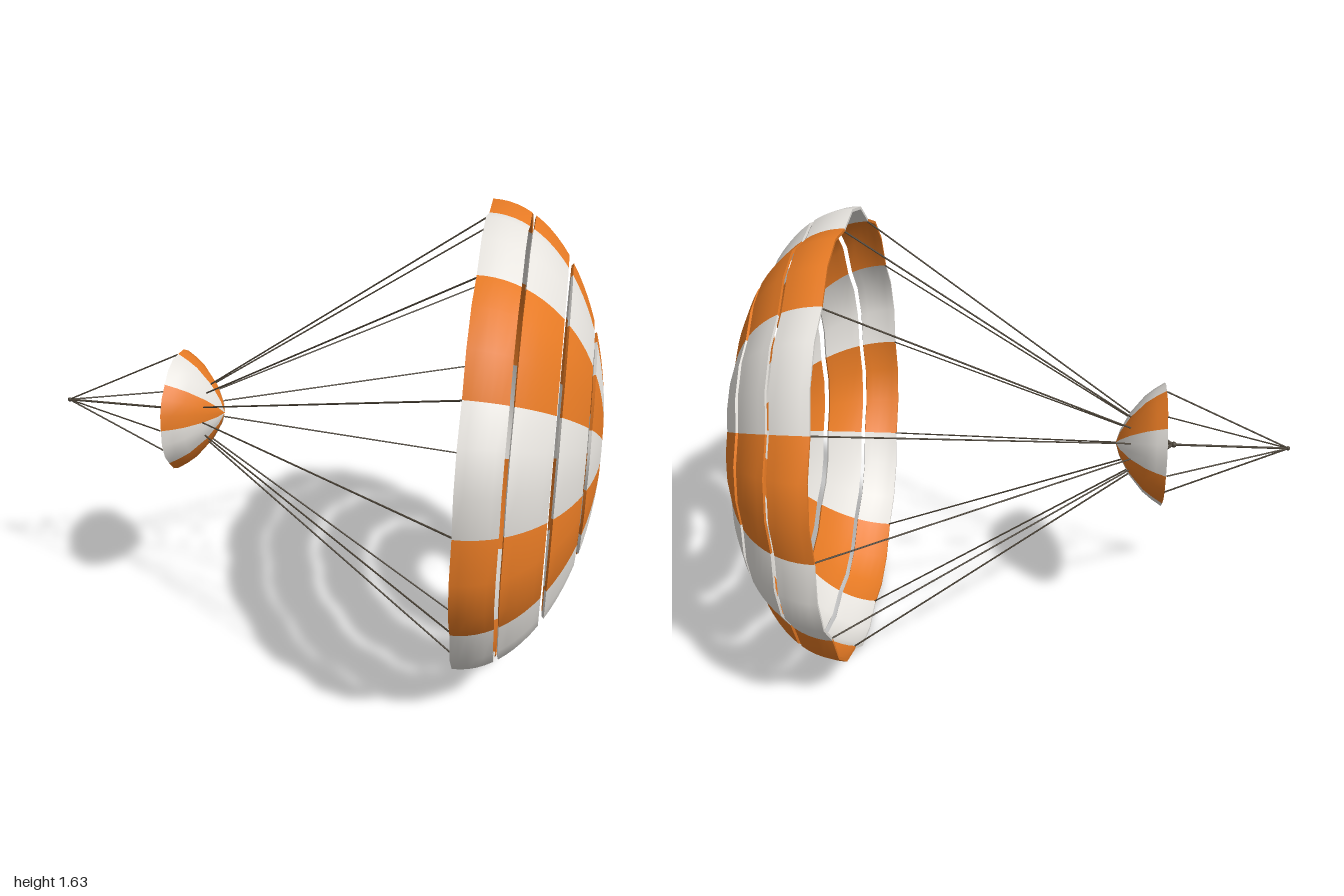
import * as THREE from 'three';
import { mergeGeometries } from 'three/addons/utils/BufferGeometryUtils.js';

const AXIS = 0.815; // height of the parachute axis, which runs along x

const makeMaterial = (name, color) => {
  const m = new THREE.MeshStandardMaterial({ color });
  m.name = name;
  return m;
};

// A point at distance r from the axis; angle runs from up (+y) towards the front (+z)
const around = (x, r, angle) =>
  new THREE.Vector3(x, AXIS + r * Math.cos(angle), r * Math.sin(angle));

// Sweep a short profile of [x, r] points across one billowed gore
function gorePatch(profile, start, width, bulge) {
  const steps = 3, n = profile.length, pos = [], index = [];
  for (let j = 0; j <= steps; j++) {
    const t = j / steps, f = 1 + bulge * Math.sin(Math.PI * t);
    for (const [x, r] of profile) pos.push(...around(x, r * f, start + width * t).toArray());
  }
  for (let j = 0; j < steps; j++) {
    for (let i = 0; i < n - 1; i++) {
      const a = j * n + i, b = a + n;
      index.push(a, b, a + 1, b, b + 1, a + 1);
    }
  }
  const g = new THREE.BufferGeometry();
  g.setAttribute('position', new THREE.Float32BufferAttribute(pos, 3));
  g.setIndex(index);
  g.computeVertexNormals();
  return g;
}

// Cloth band with thickness, made of gores in two alternating colours
function clothBand(name, outer, inner, gores, bulge, materials) {
  const group = new THREE.Group();
  group.name = name;
  const last = outer.length - 1;
  const sides = [
    outer,
    [outer[last], inner[last]],
    [...inner].reverse(),
    [inner[0], outer[0]],
  ];
  const width = (Math.PI * 2) / gores;
  materials.forEach((material, c) => {
    const parts = [];
    for (let k = c; k < gores; k += 2) {
      for (const side of sides) parts.push(gorePatch(side, k * width, width, bulge));
    }
    const mesh = new THREE.Mesh(mergeGeometries(parts), material);
    mesh.name = `${name} ${material.name} gores`;
    group.add(mesh);
  });
  return group;
}

function cord(name, from, to, material, radius = 0.003) {
  const path = new THREE.LineCurve3(from, to);
  const mesh = new THREE.Mesh(new THREE.TubeGeometry(path, 1, radius, 6), material);
  mesh.name = name;
  return mesh;
}

function knot(name, x, radius, material) {
  const mesh = new THREE.Mesh(new THREE.SphereGeometry(radius, 10, 8), material);
  mesh.name = name;
  mesh.position.set(x, AXIS, 0);
  return mesh;
}

export function createModel() {
  const model = new THREE.Group();
  model.name = 'parachute';
  const white = makeMaterial('white', 0xe6e3de);
  const orange = makeMaterial('orange', 0xe67a24);
  const cordColor = makeMaterial('cord brown', 0x4a4236);
  const cloth = [white, orange];

  // Main canopy: four rings separated by slots, on one elliptical dome
  const dome = (degrees, depth) => {
    const a = THREE.MathUtils.degToRad(degrees);
    return [0.57 + (0.437 - depth) * Math.sin(a), (0.797 - depth) * Math.cos(a)];
  };
  const rings = [[0, 18], [20, 38.2], [41, 58.5], [61.8, 79.3]];
  rings.forEach(([from, to], i) => {
    const outer = [], inner = [];
    for (let s = 0; s <= 5; s++) {
      const angle = from + ((to - from) * s) / 5;
      outer.push(dome(angle, 0));
      inner.push(dome(angle, 0.01));
    }
    model.add(clothBand(`canopy ring ${i + 1}`, outer, inner, 12, 0.044, cloth));
  });

  // Small pilot chute
  const pilot = [[-0.54, 0.22], [-0.505, 0.198], [-0.47, 0.171], [-0.417, 0.109],
    [-0.382, 0.045], [-0.37, 0.006]];
  const pilotInner = pilot.map(([x, r], i) => [x - (i ? 0.005 : 0), Math.max(r - 0.005, 0.003)]);
  model.add(clothBand('pilot chute', pilot, pilotInner, 8, 0.03, cloth));

  // Suspension lines from the canopy seams to the confluence point
  const confluence = around(-0.58, 0, 0);
  for (let k = 0; k < 12; k++) {
    const rim = around(0.572, 0.787, (k * Math.PI) / 6);
    model.add(cord('suspension line', confluence, rim, cordColor));
  }

  // Pilot lines and the central riser, gathered at the far end
  const end = around(-0.994, 0, 0);
  for (let k = 0; k < 4; k++) {
    model.add(cord('pilot line', end, around(-0.54, 0.218, (k * Math.PI) / 2), cordColor));
  }
  model.add(cord('riser', end, confluence, cordColor, 0.004));
  model.add(knot('end knot', -0.992, 0.008, cordColor));
  model.add(knot('confluence knot', -0.58, 0.011, cordColor));

  return model;
}
